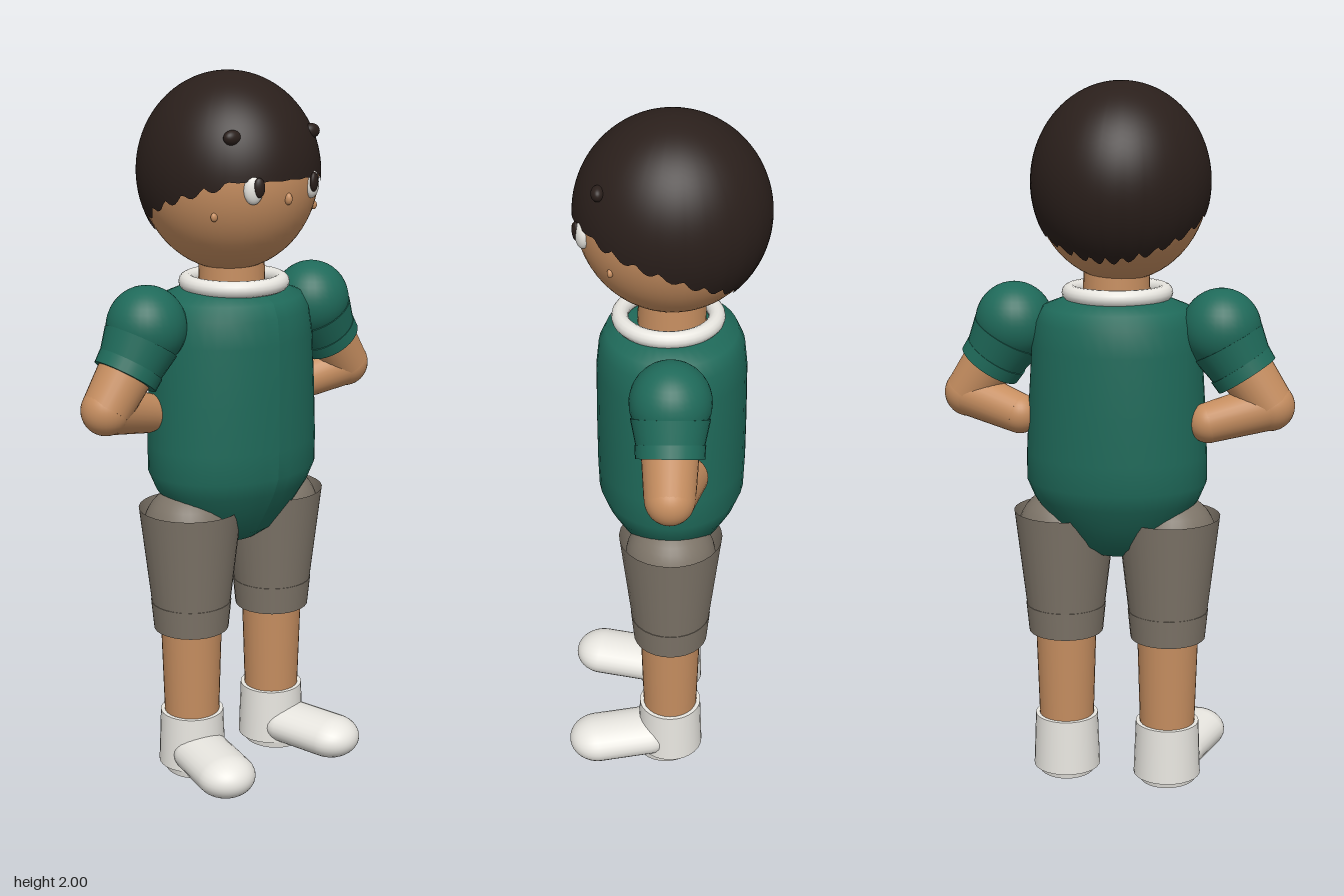
import * as THREE from 'three';

const mat = (color, side = THREE.FrontSide) => new THREE.MeshStandardMaterial({ color, side });
const skin = mat(0xc68e60);
const hairMat = mat(0x2a1f1b, THREE.DoubleSide);
const green = mat(0x1f6a5a);
const cloth = mat(0x7d7468, THREE.DoubleSide);
const white = mat(0xe8e6e0);

function add(parent, name, geometry, material, x = 0, y = 0, z = 0) {
  const mesh = new THREE.Mesh(geometry, material);
  mesh.name = name;
  mesh.position.set(x, y, z);
  parent.add(mesh);
  return mesh;
}

const ellipsoid = (rx, ry, rz) => new THREE.SphereGeometry(1, 32, 20).scale(rx, ry, rz);

// Tapered cylinder between two points
function limb(parent, name, a, b, ra, rb, material, open = false) {
  const from = new THREE.Vector3(...a), to = new THREE.Vector3(...b);
  const dir = to.clone().sub(from);
  const mesh = add(parent, name, new THREE.CylinderGeometry(rb, ra, dir.length(), 28, 1, open), material);
  mesh.position.copy(from).add(to).multiplyScalar(0.5);
  mesh.quaternion.setFromUnitVectors(new THREE.Vector3(0, 1, 0), dir.normalize());
  return mesh;
}

// Hair cap: a sphere whose lower rim follows a jagged hairline
function hairGeometry() {
  const g = new THREE.SphereGeometry(1, 144, 28, 0, Math.PI * 2, 0, 2);
  const p = g.attributes.position;
  for (let i = 0; i < p.count; i++) {
    const a = Math.atan2(p.getX(i), p.getZ(i));
    const t = Math.acos(THREE.MathUtils.clamp(p.getY(i), -1, 1)) / 2;
    const c = Math.cos(a);
    const jag = c > 0.75 ? 0.003 : 0.022;
    const rim = Math.min(0.005, -0.065 + (c > 0 ? 0.095 : 0.115) * c) - jag * Math.abs(Math.sin(a * 13));
    const polar = t * Math.acos(rim / 0.27);
    p.setXYZ(i, Math.sin(a) * Math.sin(polar) * 0.245, Math.cos(polar) * 0.27, c * Math.sin(polar) * 0.262);
  }
  g.computeVertexNormals();
  return g;
}

function buildHead() {
  const head = new THREE.Group();
  head.name = 'head';
  head.position.set(-0.012, 1.73, 0);
  add(head, 'face', new THREE.SphereGeometry(1, 48, 32).scale(0.239, 0.268, 0.256), skin);
  add(head, 'hair', hairGeometry(), hairMat);
  add(head, 'nose', ellipsoid(0.01, 0.016, 0.012), skin, 0, -0.047, 0.252);
  for (const s of [-1, 1]) {
    add(head, 'eye', ellipsoid(0.026, 0.038, 0.018), white, s * 0.1, -0.018, 0.23).rotation.y = s * 0.4;
    add(head, 'pupil', ellipsoid(0.016, 0.026, 0.01), hairMat, s * 0.094, -0.011, 0.246).rotation.y = s * 0.4;
    add(head, 'brow', ellipsoid(0.026, 0.02, 0.018), hairMat, s * 0.135, 0.115, 0.186);
    add(head, 'cheek', ellipsoid(0.01, 0.012, 0.008), skin, s * 0.172, -0.09, 0.157);
  }
  return head;
}

// Shirt body: smooth profile squeezed front to back
function buildTorso(body) {
  const profile = [[0, 0.682], [0.08, 0.686], [0.14, 0.72], [0.195, 0.79], [0.235, 0.85], [0.256, 0.9],
    [0.255, 0.98], [0.248, 1.12], [0.238, 1.28], [0.226, 1.35], [0.205, 1.39], [0.15, 1.412], [0, 1.415]];
  const g = new THREE.LatheGeometry(profile.map(([x, y]) => new THREE.Vector2(x, y)), 40);
  const p = g.attributes.position;
  for (let i = 0; i < p.count; i++) {
    const y = p.getY(i);
    p.setZ(i, p.getZ(i) * THREE.MathUtils.mapLinear(THREE.MathUtils.clamp(y, 0.7, 1.35), 0.7, 1.35, 0.77, 0.88));
  }
  g.computeVertexNormals();
  add(body, 'shirt', g, green);
  add(body, 'neck', new THREE.CylinderGeometry(0.09, 0.095, 0.14, 28), skin, 0, 1.44, 0);
  add(body, 'collar', new THREE.TorusGeometry(0.131, 0.023, 14, 40).rotateX(Math.PI / 2), white, 0, 1.428, 0.01);
}

// Arm bent with the hand on the hip
function buildArm(s) {
  const arm = new THREE.Group();
  arm.name = s > 0 ? 'leftArm' : 'rightArm';
  const elbow = [s * 0.43, 1.128, 0], hand = [s * 0.268, 1.083, -0.045];
  add(arm, 'shoulder', ellipsoid(0.11, 0.112, 0.109), green, s * 0.293, 1.337, 0);
  limb(arm, 'sleeve', [s * 0.312, 1.3, 0], [s * 0.357, 1.222, 0], 0.105, 0.086, green);
  limb(arm, 'sleeveCuff', [s * 0.346, 1.24, 0], [s * 0.366, 1.21, 0], 0.093, 0.091, green);
  limb(arm, 'upperArm', [s * 0.345, 1.25, 0], elbow, 0.078, 0.068, skin);
  add(arm, 'elbow', ellipsoid(0.069, 0.069, 0.067), skin, ...elbow);
  limb(arm, 'forearm', elbow, hand, 0.067, 0.056, skin);
  add(arm, 'hand', ellipsoid(0.056, 0.056, 0.056), skin, ...hand);
  return arm;
}

function buildLeg(s) {
  const leg = new THREE.Group();
  leg.name = s > 0 ? 'leftLeg' : 'rightLeg';
  const x = s * 0.15;
  add(leg, 'hip', ellipsoid(0.128, 0.125, 0.128), cloth, x + s * 0.008, 0.738, 0);
  limb(leg, 'shortsLeg', [x, 0.44, 0], [x, 0.8, 0], 0.104, 0.146, cloth, true);
  limb(leg, 'shortsCuff', [x, 0.438, 0], [x, 0.52, 0], 0.107, 0.115, cloth);
  limb(leg, 'shin', [x, 0.1, 0], [x, 0.6, 0], 0.077, 0.092, skin);
  limb(leg, 'sock', [x, 0.02, 0], [x, 0.18, 0], 0.097, 0.091, white);
  // Shoe, toes turned outward
  const shoe = new THREE.Group();
  shoe.name = 'shoe';
  shoe.position.set(x, 0, 0);
  shoe.rotation.y = s * 0.22;
  add(shoe, 'toe', new THREE.CapsuleGeometry(0.085, 0.15, 12, 28).rotateX(Math.PI / 2).scale(1, 0.7, 1),
    white, 0, 0.066, 0.148);
  add(shoe, 'sole', new THREE.CylinderGeometry(0.085, 0.08, 0.03, 28).scale(1, 1, 1.1), white, 0, 0.015, 0.01);
  leg.add(shoe);
  return leg;
}

export function createModel() {
  const model = new THREE.Group();
  model.name = 'boy';
  // The whole figure is turned slightly to its right
  const body = new THREE.Group();
  body.name = 'body';
  body.position.z = -0.029;
  body.rotation.y = -0.095;
  model.add(body);
  body.add(buildHead());
  buildTorso(body);
  for (const s of [-1, 1]) body.add(buildArm(s), buildLeg(s));
  return model;
}
